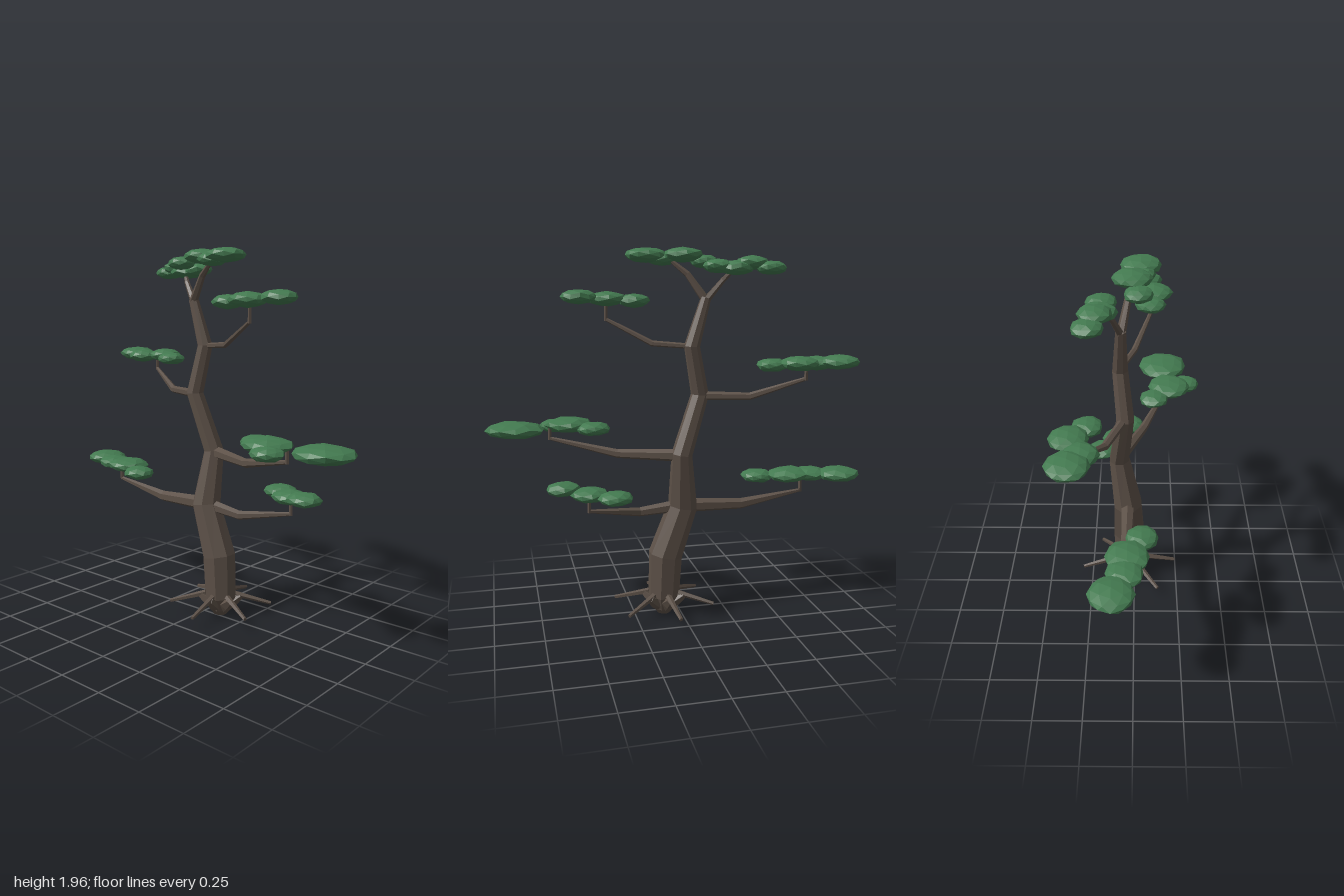
import * as THREE from 'three';

const bark = new THREE.MeshStandardMaterial({ color: 0x5c5047, flatShading: true });
const leaf = new THREE.MeshStandardMaterial({ color: 0x437a50, flatShading: true });

// Tapered limb through rings [x, y, z, radius], closed at both ends
function limb(name, rings, sides) {
  const pts = rings.map(r => new THREE.Vector3(r[0], r[1], r[2]));
  const n = rings.length;
  const whole = pts[n - 1].clone().sub(pts[0]).normalize();
  const ref = Math.abs(whole.y) > 0.7 ? new THREE.Vector3(0, 0, 1) : new THREE.Vector3(0, 1, 0);
  const pos = [], index = [];
  pts.forEach((p, k) => {
    const t = new THREE.Vector3();
    if (k > 0) t.add(p.clone().sub(pts[k - 1]).normalize());
    if (k < n - 1) t.add(pts[k + 1].clone().sub(p).normalize());
    t.normalize();
    const u = ref.clone().cross(t).normalize();
    const v = t.clone().cross(u);
    for (let i = 0; i < sides; i++) {
      const a = (i + 0.5) / sides * Math.PI * 2;
      const q = p.clone().addScaledVector(u, Math.cos(a) * rings[k][3]).addScaledVector(v, Math.sin(a) * rings[k][3]);
      pos.push(q.x, q.y, q.z);
    }
  });
  for (let k = 0; k < n - 1; k++) {
    for (let i = 0; i < sides; i++) {
      const a = k * sides + i, b = k * sides + (i + 1) % sides;
      index.push(a, b, b + sides, a, b + sides, a + sides);
    }
  }
  const last = (n - 1) * sides;
  for (let i = 1; i < sides - 1; i++) index.push(0, i + 1, i, last, last + i, last + i + 1);
  const g = new THREE.BufferGeometry();
  g.setAttribute('position', new THREE.Float32BufferAttribute(pos, 3));
  g.setIndex(index);
  g.computeVertexNormals();
  const mesh = new THREE.Mesh(g, bark);
  mesh.name = name;
  return mesh;
}

// Flattened, slightly uneven clump of needles
function clump([x, y, z, r]) {
  const g = new THREE.IcosahedronGeometry(1, 1);
  const p = g.attributes.position, v = new THREE.Vector3();
  for (let i = 0; i < p.count; i++) {
    v.fromBufferAttribute(p, i);
    v.multiplyScalar(1 + 0.06 * Math.sin(v.x * 5 + x * 40) * Math.cos(v.z * 4 + z * 30 + v.y * 3));
    p.setXYZ(i, v.x * r, v.y * (0.028 + r * 0.1), v.z * r * 0.93);
  }
  g.computeVertexNormals();
  const mesh = new THREE.Mesh(g, leaf);
  mesh.position.set(x, y, z);
  mesh.name = 'needleClump';
  return mesh;
}

// Foliage pad made of overlapping clumps [x, y, z, radius]
function pad(name, ...clumps) {
  const group = new THREE.Group();
  group.name = name + 'Foliage';
  group.add(...clumps.map(clump));
  return group;
}

// Bent branch with a short upright twig at its end
function branch(name, start, elbow, end) {
  const group = new THREE.Group();
  group.name = name + 'Branch';
  const [x, y, z] = end;
  group.add(limb('bough', [start, elbow, [...end, 0.01]], 6));
  group.add(limb('twig', [[x, y - 0.008, z, 0.01], [x, y + 0.08, z, 0.009]], 5));
  return group;
}

export function createModel() {
  const tree = new THREE.Group();
  tree.name = 'bonsaiTree';

  // Winding trunk
  tree.add(limb('trunk', [
    [0.09, 0, -0.03, 0.035], [0.09, 0.03, -0.03, 0.06], [0.09, 0.1, -0.03, 0.085],
    [0.08, 0.33, -0.03, 0.092], [-0.015, 0.6, -0.035, 0.08], [0, 0.89, -0.08, 0.056],
    [-0.105, 1.2, -0.045, 0.048], [-0.055, 1.455, -0.07, 0.042], [-0.13, 1.7, -0.063, 0.027],
  ], 8));

  // Six spreading roots
  for (let i = 0; i < 6; i++) {
    const a = (23 + i * 60) * Math.PI / 180;
    const at = (r, y, w) => [0.09 + Math.cos(a) * r, y, -0.03 + Math.sin(a) * r, w];
    tree.add(limb('root', [at(0.02, 0.035, 0.03), at(0.065, 0.075, 0.035), at(0.11, 0.105, 0.02)], 5));
    tree.add(limb('rootTip', [at(0.08, 0.115, 0.017), at(0.275, 0.065, 0.01)], 5));
  }

  // Lower tier
  tree.add(branch('lowerRight', [-0.02, 0.6, -0.035, 0.04], [-0.34, 0.59, -0.04, 0.03], [-0.685, 0.645, -0.04]));
  tree.add(pad('lowerRight', [-0.88, 0.742, -0.1, 0.12], [-0.74, 0.738, -0.04, 0.1],
    [-0.62, 0.738, -0.03, 0.12], [-0.46, 0.722, 0.04, 0.09]));
  tree.add(branch('lowerLeft', [0, 0.6, -0.035, 0.035], [0.22, 0.577, -0.03, 0.025], [0.495, 0.618, -0.1]));
  tree.add(pad('lowerLeft', [0.37, 0.703, -0.19, 0.09], [0.49, 0.707, -0.1, 0.1], [0.62, 0.727, -0.03, 0.09]));

  // Middle branch
  tree.add(branch('middleLeft', [0.01, 0.885, -0.08, 0.034], [0.32, 0.883, 0.05, 0.024], [0.665, 0.955, 0.19]));
  tree.add(pad('middleLeft', [0.85, 1.012, 0.17, 0.155], [0.56, 1.025, 0.2, 0.13],
    [0.63, 1.005, 0.3, 0.085], [0.44, 1.012, 0.11, 0.09]));

  // Upper tier
  tree.add(branch('upperRight', [-0.1, 1.195, -0.05, 0.024], [-0.35, 1.195, -0.14, 0.02], [-0.605, 1.295, -0.27]));
  tree.add(pad('upperRight', [-0.78, 1.378, -0.28, 0.11], [-0.68, 1.37, -0.23, 0.09],
    [-0.56, 1.375, -0.29, 0.1], [-0.44, 1.363, -0.215, 0.08]));
  tree.add(branch('upperLeft', [-0.05, 1.455, -0.07, 0.014], [0.14, 1.468, 0, 0.016], [0.365, 1.59, 0.09]));
  tree.add(pad('upperLeft', [0.22, 1.685, 0.08, 0.085], [0.36, 1.695, 0.1, 0.105], [0.51, 1.706, 0.055, 0.095]));

  // Forked crown
  tree.add(limb('crownForkLeft', [[-0.135, 1.68, -0.063, 0.024], [-0.04, 1.82, -0.03, 0.017], [0.05, 1.895, 0, 0.01]], 6));
  tree.add(pad('crownLeft', [-0.14, 1.885, 0.02, 0.075], [-0.02, 1.917, -0.01, 0.105],
    [0.08, 1.898, 0.03, 0.08], [0.165, 1.915, 0.03, 0.11]));
  tree.add(limb('crownForkRight', [[-0.125, 1.68, -0.063, 0.02], [-0.21, 1.79, -0.1, 0.014], [-0.27, 1.86, -0.15, 0.009]], 6));
  tree.add(pad('crownRight', [-0.43, 1.85, -0.2, 0.08], [-0.34, 1.875, -0.17, 0.085],
    [-0.26, 1.85, -0.16, 0.095], [-0.17, 1.858, -0.15, 0.08]));

  return tree;
}
